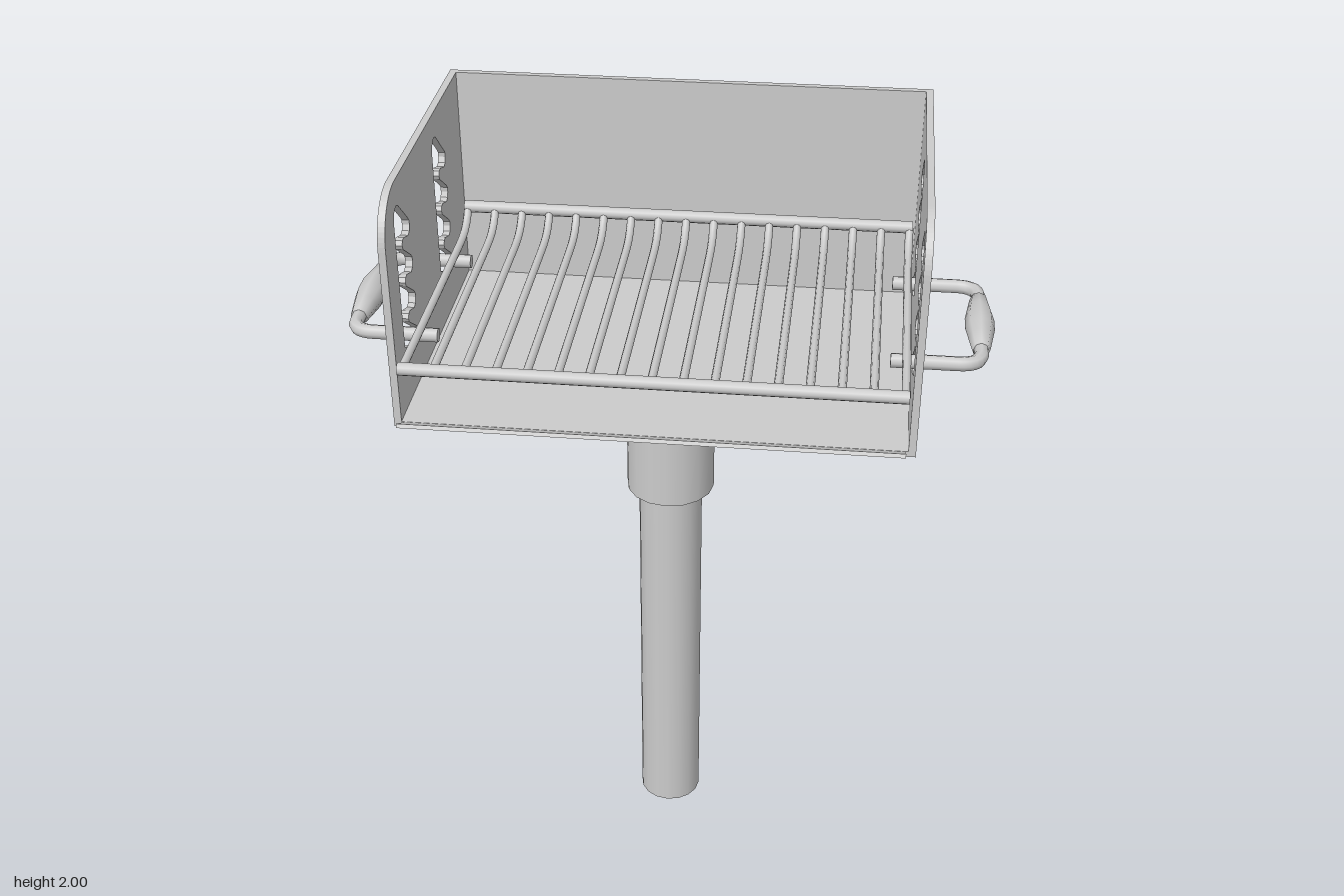
import * as THREE from 'three';

const V = (x, y, z) => new THREE.Vector3(x, y, z);
const steel = new THREE.MeshStandardMaterial({ color: 0xcccccc });
const steelThin = new THREE.MeshStandardMaterial({ color: 0xcccccc, side: THREE.DoubleSide });

export function createModel() {
  const model = new THREE.Group();

  function add(name, geometry, x = 0, y = 0, z = 0, material = steel, parent = model) {
    const mesh = new THREE.Mesh(geometry, material);
    mesh.name = name;
    mesh.position.set(x, y, z);
    parent.add(mesh);
    return mesh;
  }

  // Post and the wider sleeve it turns in
  const postZ = -0.03;
  add('post', new THREE.CylinderGeometry(0.083, 0.083, 1.42, 16, 1, true), 0, 0.71, postZ, steelThin);
  add('sleeve', new THREE.CylinderGeometry(0.114, 0.114, 0.375, 16), 0, 1.2375, postZ);

  // Firebox floor, back and tilted front lip
  const bottom = 1.425, front = 0.37, back = -0.445, wall = 0.018, half = 0.615;
  add('floor', new THREE.BoxGeometry(2 * half - 0.01, 0.014, front - back), 0, bottom + 0.007, (front + back) / 2);
  add('backPanel', new THREE.BoxGeometry(2 * half, 2 - bottom, wall), 0, (2 + bottom) / 2, back + wall / 2);
  const lip = add('frontLip', new THREE.BoxGeometry(1.18, 0.01, 0.088), 0, 1.452, 0.406);
  lip.rotation.x = -0.5;

  // Toothed height slot; the rounded tooth pockets hold the grate handles
  function slot(z0) {
    const pts = [[0, 1.59], [0, 1.905], [0.004, 1.922], [0.014, 1.936], [0.03, 1.94], [0.045, 1.934]];
    for (let i = 0; i < 4; i++) {
      const t = 1.845 - i * 0.095;
      pts.push([0.122, t + 0.022], [0.131, t + 0.012], [0.132, t], [0.126, t - 0.013], [0.112, t - 0.018]);
      if (i < 3) pts.push([0.07, t - 0.004], [0.058, t - 0.006], [0.052, t - 0.017], [0.057, t - 0.028]);
    }
    pts.push([0.1, 1.54]);
    return new THREE.Path(pts.map(([d, y]) => new THREE.Vector2(z0 - d, y)));
  }

  // Side panels: outline drawn in z and y, then turned to face sideways
  const outline = new THREE.Shape();
  outline.moveTo(back, bottom);
  outline.lineTo(front, bottom);
  outline.lineTo(front, 1.88);
  outline.absarc(front - 0.12, 1.88, 0.12, 0, Math.PI / 2, false);
  outline.lineTo(back, 2);
  outline.closePath();
  outline.holes.push(slot(0.28), slot(-0.117));
  const side = new THREE.ExtrudeGeometry(outline, { depth: wall, bevelEnabled: false, curveSegments: 8 });
  side.rotateY(-Math.PI / 2);
  add('leftSidePanel', side, half);
  add('rightSidePanel', side, -half + wall);

  // Cooking grate: two cross bars joined by rods that sweep up at the rear
  const grate = new THREE.Group();
  grate.name = 'grate';
  model.add(grate);
  const crossBar = new THREE.CylinderGeometry(0.016, 0.016, 1.18, 10).rotateZ(Math.PI / 2);
  add('frontCrossBar', crossBar, 0, 1.592, 0.385, steel, grate);
  add('rearCrossBar', crossBar, 0, 1.64, -0.403, steel, grate);
  const rodPath = new THREE.CurvePath();
  rodPath.add(new THREE.LineCurve3(V(0, 1.59, 0.385), V(0, 1.59, -0.26)));
  rodPath.add(new THREE.CubicBezierCurve3(V(0, 1.59, -0.26), V(0, 1.59, -0.34), V(0, 1.6, -0.37), V(0, 1.64, -0.4)));
  const rod = new THREE.TubeGeometry(rodPath, 30, 0.0105, 8);
  for (let i = -8; i <= 8; i++) add('grateRod', rod, i * 0.0727, 0, 0, steel, grate);

  // Handles: bent hoop through the slots, with a swollen grip
  const hy = 1.56, zA = 0.16, zB = -0.24, inner = 0.545, outer = 0.76, r = 0.055;
  const hoopPath = new THREE.CurvePath();
  const corner = (a, b, c) => hoopPath.add(new THREE.QuadraticBezierCurve3(a, b, c));
  const line = (a, b) => hoopPath.add(new THREE.LineCurve3(a, b));
  line(V(inner, hy, zA), V(outer - r, hy, zA));
  corner(V(outer - r, hy, zA), V(outer, hy, zA), V(outer, hy, zA - r));
  line(V(outer, hy, zA - r), V(outer, hy, zB + r));
  corner(V(outer, hy, zB + r), V(outer, hy, zB), V(outer - r, hy, zB));
  line(V(outer - r, hy, zB), V(inner, hy, zB));
  const hoop = new THREE.TubeGeometry(hoopPath, 64, 0.018, 8);
  const hoopEnd = new THREE.CircleGeometry(0.018, 8).rotateY(-Math.PI / 2);
  const gripProfile = [[0, -0.128], [0.022, -0.128], [0.03, -0.07], [0.036, -0.025],
    [0.036, 0.025], [0.03, 0.07], [0.022, 0.128], [0, 0.128]];
  const grip = new THREE.LatheGeometry(gripProfile.map(([x, y]) => new THREE.Vector2(x, y)), 8);
  grip.rotateX(Math.PI / 2);
  for (const s of [1, -1]) {
    const handle = new THREE.Group();
    handle.name = s > 0 ? 'leftHandle' : 'rightHandle';
    handle.scale.x = s;
    model.add(handle);
    add('hoop', hoop, 0, 0, 0, steel, handle);
    for (const z of [zA, zB]) add('hoopEnd', hoopEnd, inner, hy, z, steel, handle);
    add('grip', grip, outer, hy, -0.042, steel, handle);
  }

  return model;
}
